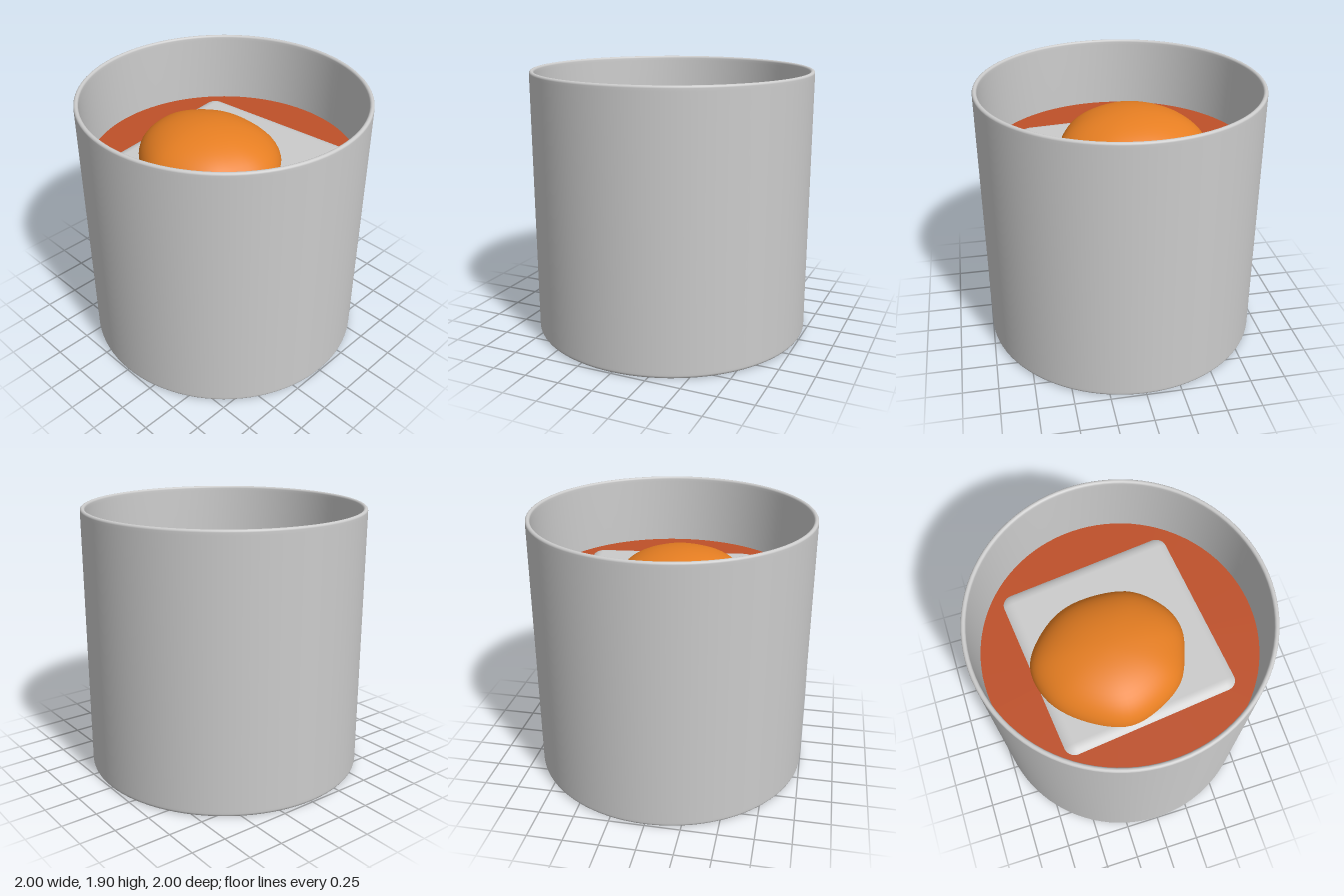
import * as THREE from 'three';
import { RoundedBoxGeometry } from 'three/addons/geometries/RoundedBoxGeometry.js';

const LEVEL = 1.39; // height of the drink's surface

function part(name, geometry, color = 0xcccccc) {
  const mesh = new THREE.Mesh(geometry, new THREE.MeshStandardMaterial({ color }));
  mesh.name = name;
  return mesh;
}

const v2 = (x, y) => new THREE.Vector2(x, y);

// Points along a rounded corner between two angles
function arc(cx, cy, r, from, to, steps = 6) {
  return Array.from({ length: steps + 1 }, (_, i) => {
    const a = THREE.MathUtils.lerp(from, to, i / steps);
    return v2(cx + r * Math.cos(a), cy + r * Math.sin(a));
  });
}

// Thin-walled tumbler with a rounded lip and base edge
function createGlass() {
  const profile = [
    v2(0, 0), v2(0.96, 0),
    ...arc(0.975, 0.025, 0.025, -Math.PI / 2, 0),
    v2(1, 0.04), v2(1, 1.87),
    ...arc(0.984, 1.888, 0.016, 0, Math.PI, 10),
    v2(0.967, 1.87), v2(0.958, LEVEL), v2(0.95, 0.1),
    ...arc(0.9, 0.11, 0.05, 0, -Math.PI / 2),
    v2(0.88, 0.06), v2(0, 0.06),
  ];
  return part('glass', new THREE.LatheGeometry(profile, 96));
}

// Drink filling the tumbler up to its level, its edge just inside the wall
function createDrink() {
  const drink = part('drink', new THREE.CylinderGeometry(0.966, 0.955, LEVEL - 0.08, 96), 0xbe5029);
  drink.position.y = (LEVEL + 0.08) / 2;
  return drink;
}

// Ice cube floating with its top just above the drink
function createIce() {
  const height = 1.28;
  const ice = part('iceCube', new RoundedBoxGeometry(1.335, height, 1.335, 8, 0.12));
  ice.position.set(-0.01, LEVEL + 0.026 - height / 2, -0.03);
  ice.rotation.y = 0.11;
  return ice;
}

// Fruit peel: a flattened sphere widened to an uneven outline
function createPeel() {
  const center = new THREE.Vector3(-0.1, LEVEL - 0.01, 0.09);
  const outline = new THREE.CatmullRomCurve3([
    [0.445, 0.02], [0.4, -0.15], [0.19, -0.355], [-0.17, -0.395], [-0.38, -0.33], [-0.59, -0.13],
    [-0.64, 0.02], [-0.56, 0.29], [-0.34, 0.49], [-0.12, 0.575], [0.1, 0.53], [0.31, 0.39], [0.41, 0.18],
  ].map(([x, z]) => new THREE.Vector3(x, 0, z).sub(center).setY(0)), true);

  const around = 64, rings = 32;
  const geometry = new THREE.SphereGeometry(1, around, rings);
  const rim = outline.getSpacedPoints(around);
  const pos = geometry.attributes.position;
  for (let i = 0; i < pos.count; i++) {
    const polar = Math.floor(i / (around + 1)) / rings * Math.PI;
    const p = rim[i % (around + 1)];
    const spread = Math.sin(polar);
    // Lumps fade out toward the poles
    const even = 0.52 / Math.hypot(p.x, p.z);
    const k = spread * THREE.MathUtils.lerp(even, 1, spread);
    pos.setXYZ(i, p.x * k, 0.29 * Math.cos(polar), p.z * k);
  }
  geometry.computeVertexNormals();
  // Match normals along the seam
  const n = geometry.attributes.normal;
  for (let r = 0; r <= rings; r++) {
    const a = r * (around + 1), b = a + around;
    const sum = new THREE.Vector3().fromBufferAttribute(n, a)
      .add(new THREE.Vector3().fromBufferAttribute(n, b)).normalize();
    n.setXYZ(a, sum.x, sum.y, sum.z);
    n.setXYZ(b, sum.x, sum.y, sum.z);
  }
  // Poles point straight up and down
  for (let c = 0; c <= around; c++) {
    n.setXYZ(c, 0, 1, 0);
    n.setXYZ(rings * (around + 1) + c, 0, -1, 0);
  }
  const peel = part('fruitPeel', geometry, 0xe67e22);
  peel.position.copy(center);
  return peel;
}

export function createModel() {
  const model = new THREE.Group();
  model.name = 'drinkGlass';
  model.add(createGlass(), createDrink(), createIce(), createPeel());
  return model;
}
